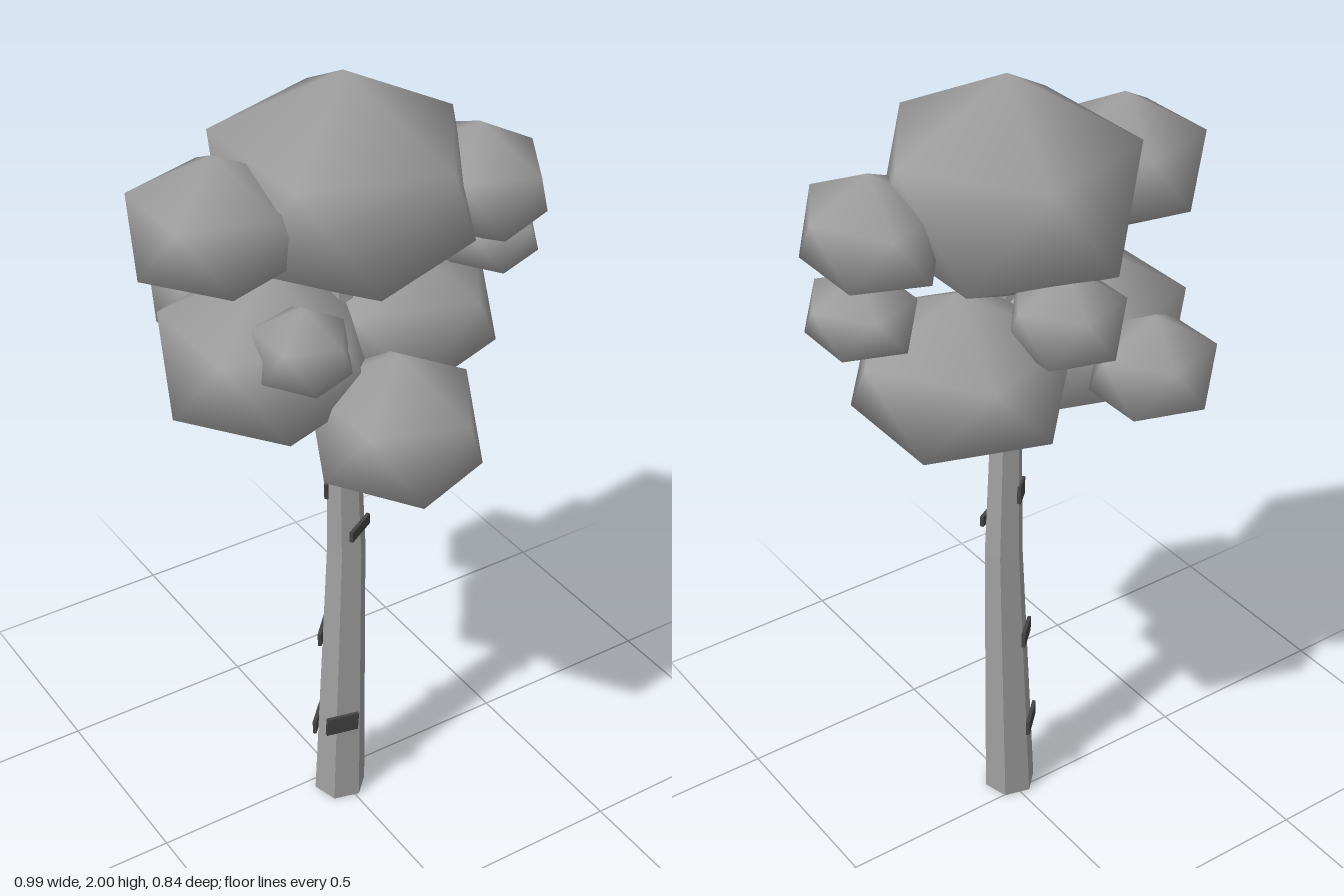
import * as THREE from 'three';

const leafMat = new THREE.MeshStandardMaterial({ name: 'leafGrey', color: 0xa0a0a0 });
const barkMat = new THREE.MeshStandardMaterial({ name: 'barkGrey', color: 0xa0a0a0 });
const markMat = new THREE.MeshStandardMaterial({ name: 'barkMarkDark', color: 0x444444 });

// Smooth-shaded icosahedron standing on a pole, with a ring of five above and below the middle
function leafGeometry() {
  const h = 1 / Math.sqrt(5), r = 2 * h;
  const points = [0, 1, 0], index = [];
  for (const [y, offset] of [[h, 0], [-h, 0.5]]) {
    for (let k = 0; k < 5; k++) {
      const a = (k + offset) * Math.PI * 2 / 5;
      points.push(r * Math.cos(a), y, r * Math.sin(a));
    }
  }
  points.push(0, -1, 0);
  for (let k = 0; k < 5; k++) {
    const n = (k + 1) % 5;
    const u = 1 + k, un = 1 + n, l = 6 + k, ln = 6 + n;
    index.push(0, un, u, u, un, l, l, un, ln, 11, l, ln);
  }
  const g = new THREE.BufferGeometry();
  g.setAttribute('position', new THREE.Float32BufferAttribute(points, 3));
  g.setIndex(index);
  return g;
}

// Six-sided trunk: each level is [y, centre x, centre z, radius]
function trunkGeometry() {
  const levels = [
    [0, -0.007, 0.045, 0.067],
    [0.76, 0.011, 0.042, 0.049],
    [1.15, 0.004, 0.038, 0.039],
    [1.55, 0, 0.035, 0.03],
  ];
  const g = new THREE.CylinderGeometry(1, 1, 1, 6, 3, false, Math.PI / 12).toNonIndexed();
  const p = g.attributes.position;
  for (let i = 0; i < p.count; i++) {
    const [y, cx, cz, r] = levels[Math.round((p.getY(i) + 0.5) * 3)];
    p.setXYZ(i, cx + p.getX(i) * r, y, cz + p.getZ(i) * r);
  }
  g.computeVertexNormals();
  return g;
}

export function createModel() {
  const model = new THREE.Group();
  model.name = 'tree';

  const trunk = new THREE.Mesh(trunkGeometry(), barkMat);
  trunk.name = 'trunk';
  model.add(trunk);

  // Leaf clumps: name, centre x y z, radii x y z
  const clumps = [
    ['crownTop', 0, 1.732, 0.037, 0.32, 0.268, 0.34],
    ['clumpUpperRight', -0.315, 1.716, 0.03, 0.207, 0.167, 0.206],
    ['clumpUpperLeft', 0.315, 1.687, 0.1, 0.165, 0.143, 0.2],
    ['clumpOuterLeft', 0.375, 1.528, 0.055, 0.134, 0.102, 0.15],
    ['clumpMiddleLeft', 0.175, 1.357, -0.03, 0.275, 0.2, 0.285],
    ['clumpMiddleRight', -0.18, 1.35, 0, 0.268, 0.215, 0.268],
    ['clumpSmallFront', -0.19, 1.446, 0.175, 0.118, 0.109, 0.13],
    ['clumpLowerFront', 0.027, 1.204, 0.22, 0.213, 0.191, 0.237],
    ['clumpBack', 0, 1.505, -0.185, 0.145, 0.125, 0.147],
    ['clumpBackRight', -0.16, 1.382, -0.29, 0.157, 0.132, 0.155],
    ['clumpUnder', 0.035, 1.195, 0.03, 0.12, 0.102, 0.12],
  ];
  for (const [name, x, y, z, rx, ry, rz] of clumps) {
    const g = leafGeometry().scale(rx, ry, rz);
    g.computeVertexNormals();
    const clump = new THREE.Mesh(g, leafMat);
    clump.name = name;
    clump.position.set(x, y, z);
    model.add(clump);
  }

  // Bark marks: centre x y z, turn about y, roll (degrees), width, height
  const marks = [
    [0.017, 0.845, 0.092, 30, 0, 0.09, 0.028],
    [-0.042, 0.266, 0.11, -10, -3, 0.085, 0.05],
    [-0.02, 0.94, 0.012, 225, -8, 0.062, 0.045],
    [-0.034, 0.505, 0.009, 225, -8, 0.09, 0.04],
    [-0.046, 0.22, 0.004, 225, -4, 0.098, 0.04],
  ];
  for (const [x, y, z, turn, roll, w, h] of marks) {
    const mark = new THREE.Mesh(new THREE.BoxGeometry(w, h, 0.009), markMat);
    mark.name = 'barkMark';
    mark.position.set(x, y, z);
    mark.rotation.set(0, THREE.MathUtils.degToRad(turn), THREE.MathUtils.degToRad(roll));
    model.add(mark);
  }
  return model;
}
